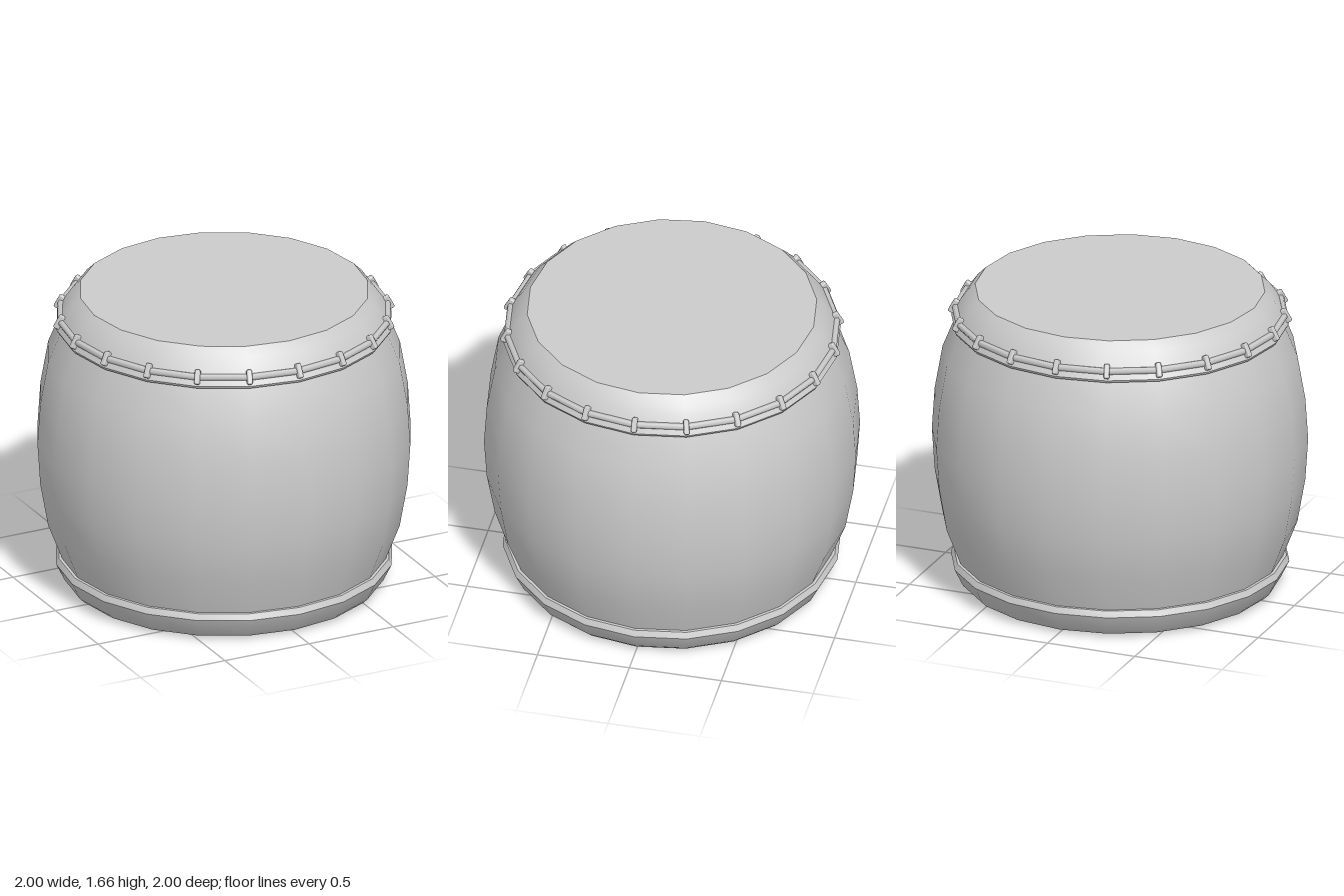
import * as THREE from 'three';
import { toCreasedNormals } from 'three/addons/utils/BufferGeometryUtils.js';
import { RoundedBoxGeometry } from 'three/addons/geometries/RoundedBoxGeometry.js';

const SIDES = 20;
const material = new THREE.MeshStandardMaterial({ color: 0xcccccc });

function addMesh(parent, name, geometry) {
  const mesh = new THREE.Mesh(geometry, material);
  mesh.name = name;
  parent.add(mesh);
  return mesh;
}

// Turned part from [radius, height] pairs listed bottom to top
function turned(profile, crease = 0.6) {
  const points = profile.map(([r, y]) => new THREE.Vector2(r, y));
  return toCreasedNormals(new THREE.LatheGeometry(points, SIDES), crease);
}

export function createModel() {
  const drum = new THREE.Group();
  drum.name = 'drum';

  // Bulging barrel shell
  addMesh(drum, 'barrel', turned([
    [0.85, 0.1], [0.87, 0.17], [0.943, 0.36], [0.985, 0.6], [1, 0.83],
    [0.985, 1.06], [0.943, 1.3], [0.87, 1.48], [0.85, 1.53],
  ]));

  // Base hoop with closed underside
  addMesh(drum, 'base', turned([
    [0, 0], [0.79, 0], [0.83, 0.015], [0.855, 0.04], [0.9, 0.132], [0.885, 0.165], [0.84, 0.165],
  ]));

  // Skin stretched over the top, with its flared rim
  addMesh(drum, 'drumHead', turned([
    [0.84, 1.468], [0.89, 1.468], [0.897, 1.482], [0.855, 1.558],
    [0.815, 1.615], [0.77, 1.66], [0, 1.66],
  ]));

  // Rope running round the rim
  const rope = new THREE.TorusGeometry(0.876, 0.018, 6, SIDES);
  rope.rotateX(Math.PI / 2);
  addMesh(drum, 'rope', rope).position.y = 1.527;

  // Clips holding the rope, one at each corner, leaning with the rim
  const clip = new RoundedBoxGeometry(0.03, 0.08, 0.042, 1, 0.009);
  clip.rotateX(-0.5);
  clip.translate(0, 1.528, 0.879);
  const clips = new THREE.Group();
  clips.name = 'ropeClips';
  drum.add(clips);
  for (let i = 0; i < SIDES; i++) {
    addMesh(clips, 'ropeClip', clip).rotation.y = (i / SIDES) * Math.PI * 2;
  }

  return drum;
}
